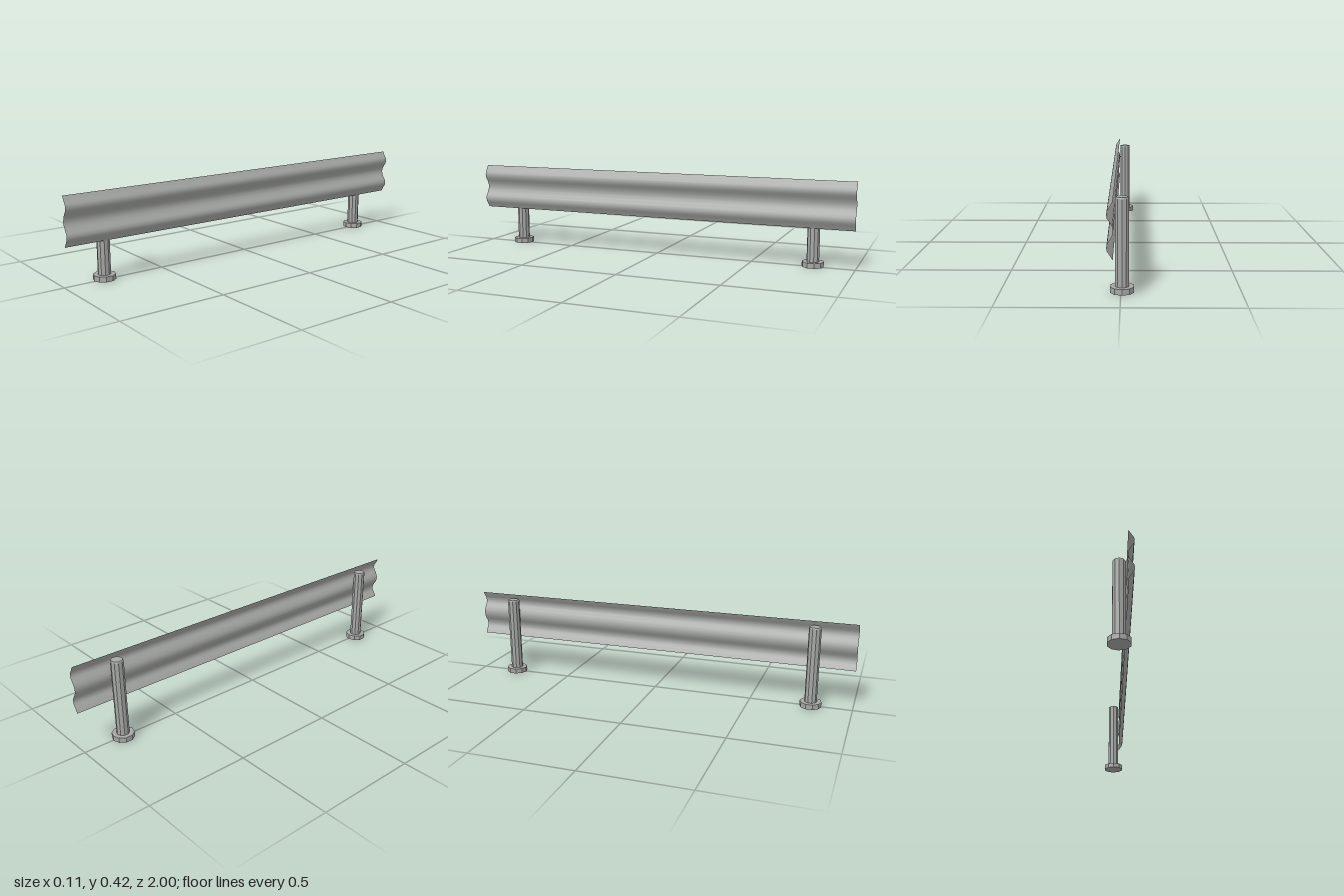
import * as THREE from 'three';

const steel = new THREE.MeshStandardMaterial({ color: 0xa6a8a5 });
steel.name = 'galvanised steel';
const sheetSteel = new THREE.MeshStandardMaterial({ color: 0xa6a8a5, side: THREE.DoubleSide });
sheetSteel.name = 'galvanised sheet steel';

const SIDES = 10;

// Faceted solid of revolution from [radius, height] pairs, bottom to top
function turned(name, profile) {
  const points = profile.map(([r, y]) => new THREE.Vector2(r, y));
  const geometry = new THREE.LatheGeometry(points, SIDES).toNonIndexed();
  geometry.computeVertexNormals();
  const mesh = new THREE.Mesh(geometry, steel);
  mesh.name = name;
  return mesh;
}

// Upright with a chamfered top standing on a wider foot
function createPost(name, z) {
  const post = new THREE.Group();
  post.name = name;
  post.add(
    turned('foot', [[0, 0], [0.0525, 0], [0.0525, 0.025], [0, 0.025]]),
    turned('upright', [[0, 0.02], [0.03, 0.02], [0.03, 0.396], [0.027, 0.402], [0, 0.402]])
  );
  post.position.set(-0.005, 0, z);
  return post;
}

// Two-wave sheet: the upper half profile is mirrored about its middle height
function createRail() {
  const middle = 0.305;
  const upper = [
    [0.0285, 0.115], [0.036, 0.101], [0.043, 0.09], [0.051, 0.078], [0.0535, 0.065],
    [0.0505, 0.05], [0.039, 0.034], [0.03, 0.017], [0.0265, 0],
  ];
  const lower = upper.slice(0, -1).reverse().map(([x, y]) => [x, -y]);
  const profile = [...upper, ...lower];

  const geometry = new THREE.PlaneGeometry(2, 1, 1, profile.length - 1);
  const position = geometry.attributes.position;
  for (let i = 0; i < position.count; i++) {
    const [x, y] = profile[Math.floor(i / 2)];
    position.setXYZ(i, x, middle + y, -position.getX(i));
  }
  geometry.computeVertexNormals();
  const rail = new THREE.Mesh(geometry, sheetSteel);
  rail.name = 'corrugatedRail';
  return rail;
}

export function createModel() {
  const model = new THREE.Group();
  model.name = 'guardRail';
  model.add(createRail(), createPost('frontPost', 0.8), createPost('backPost', -0.8));
  return model;
}
